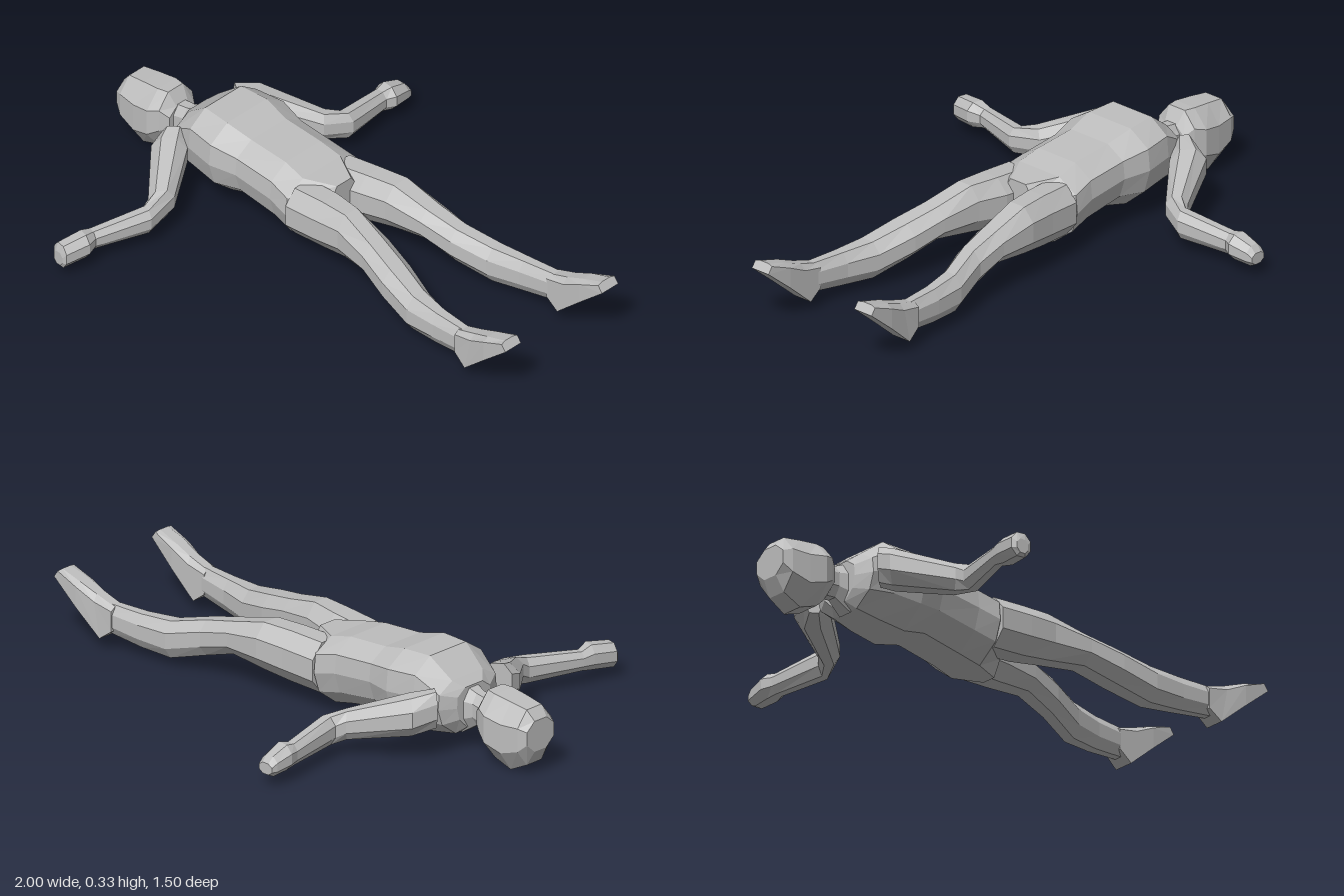
import * as THREE from 'three';

// Cross-section profiles in unit coordinates: u across, v upward
const OCTAGON = [[0.28, 0], [0.72, 0], [1, 0.3], [1, 0.72], [0.72, 1], [0.28, 1], [0, 0.72], [0, 0.3]];
const TORSO = [[0.3, 0], [0.7, 0], [0.93, 0.25], [1, 0.55], [0.98, 0.82], [0.76, 1], [0.24, 1], [0.02, 0.82], [0, 0.55], [0.07, 0.25]];
const FOOT = [[0, 0], [1, 0], [1, 0.85], [0.75, 1], [0.25, 1], [0, 0.85]];

// Skin a closed body over sections [xa, za, xb, zb, yLow, yHigh, topShiftX]
function loft(sections, profile) {
  const rings = sections.map(([xa, za, xb, zb, y0, y1, lean = 0]) =>
    profile.map(([u, v]) => new THREE.Vector3(
      xa + (xb - xa) * u + lean * v, y0 + (y1 - y0) * v, za + (zb - za) * u)));
  const n = profile.length;
  const tris = [];
  for (let i = 0; i < rings.length - 1; i++) {
    for (let j = 0; j < n; j++) {
      const k = (j + 1) % n;
      const [a, b, c, d] = [rings[i][j], rings[i][k], rings[i + 1][k], rings[i + 1][j]];
      tris.push([a, b, c], [a, c, d]);
    }
  }
  const last = rings[rings.length - 1];
  for (let j = 1; j < n - 1; j++) {
    tris.push([rings[0][0], rings[0][j + 1], rings[0][j]], [last[0], last[j], last[j + 1]]);
  }
  // Turn the faces outward whichever way the sections run
  const cross = new THREE.Vector3();
  const volume = tris.reduce((s, [a, b, c]) => s + a.dot(cross.crossVectors(b, c)), 0);
  const points = tris.flatMap(([a, b, c]) => (volume < 0 ? [a, c, b] : [a, b, c]));
  const geometry = new THREE.BufferGeometry().setFromPoints(points);
  geometry.computeVertexNormals();
  return geometry;
}

// Section square to x: position, z range, y range
const across = (x, z0, z1, y0, y1, lean) => [x, z0, x, z1, y0, y1, lean];
// Section square to x, centred on the spine
const MID = -0.037;
const spine = (x, half, y0, y1, lean) => across(x, MID - half, MID + half, y0, y1, lean);

export function createModel() {
  const model = new THREE.Group();
  model.name = 'lyingFigure';
  const grey = new THREE.MeshStandardMaterial({ color: 0xbebebe, flatShading: true });
  grey.name = 'plain grey';
  const add = (name, sections, profile = OCTAGON) => {
    const mesh = new THREE.Mesh(loft(sections, profile), grey);
    mesh.name = name;
    model.add(mesh);
  };

  // Head, crown to jaw, and neck
  add('head', [
    spine(-1, 0.065, 0.09, 0.2), spine(-0.97, 0.08, 0.035, 0.235), spine(-0.9, 0.09, 0, 0.245),
    spine(-0.83, 0.097, 0.025, 0.253), spine(-0.79, 0.08, 0.06, 0.255), spine(-0.76, 0.06, 0.1, 0.205),
  ]);
  add('neck', [spine(-0.8, 0.045, 0.09, 0.205), spine(-0.72, 0.038, 0.1, 0.215), spine(-0.66, 0.06, 0.06, 0.24)]);

  // Shoulders, chest, waist and hips tapering to the crotch
  add('torso', [
    spine(-0.69, 0.08, 0.09, 0.235), spine(-0.66, 0.14, 0.065, 0.26), spine(-0.57, 0.165, 0.05, 0.328),
    spine(-0.46, 0.182, 0.04, 0.325), spine(-0.36, 0.16, 0.065, 0.3), spine(-0.2, 0.16, 0.04, 0.288),
    spine(-0.115, 0.172, 0.022, 0.267), spine(-0.01, 0.065, 0.025, 0.258),
  ], TORSO);

  // Legs, hip to ankle
  add('leftLeg', [
    across(-0.11, -0.02, 0.142, 0.07, 0.253), across(0.02, -0.015, 0.143, 0.08, 0.262),
    across(0.13, 0.01, 0.14, 0.095, 0.265), across(0.27, 0.035, 0.165, 0.11, 0.228),
    across(0.39, 0.06, 0.195, 0.072, 0.2), across(0.52, 0.1, 0.215, 0.035, 0.168),
    across(0.64, 0.135, 0.215, 0.043, 0.163), across(0.78, 0.158, 0.218, 0.06, 0.165),
  ]);
  add('rightLeg', [
    across(-0.11, -0.21, -0.05, 0.07, 0.253), across(0.02, -0.222, -0.07, 0.08, 0.262),
    across(0.13, -0.235, -0.09, 0.095, 0.265), across(0.27, -0.232, -0.11, 0.11, 0.228),
    across(0.39, -0.235, -0.13, 0.072, 0.2), across(0.52, -0.268, -0.17, 0.035, 0.168),
    across(0.64, -0.278, -0.2, 0.043, 0.163), across(0.78, -0.285, -0.222, 0.06, 0.165),
  ]);

  // Feet, ankle to heel to toe
  for (const [name, inner, outer] of [['leftFoot', 0.155, 0.222], ['rightFoot', -0.218, -0.288]]) {
    const s = Math.sign(outer);
    add(name, [
      across(0.75, inner, outer, 0.075, 0.16), across(0.8, inner, outer + s * 0.005, 0.038, 0.185, 0.03),
      across(0.9, inner, outer + s * 0.016, 0.125, 0.212),
      across(1, inner + s * 0.008, outer + s * 0.016, 0.208, 0.236, -0.02),
    ], FOOT);
  }

  // Bent arms, shoulder to elbow to hand
  add('leftArm', [
    [-0.685, 0.15, -0.61, 0.09, 0.12, 0.25], [-0.675, 0.2, -0.575, 0.13, 0.1, 0.235],
    [-0.53, 0.365, -0.475, 0.295, 0.065, 0.165], [-0.525, 0.4, -0.46, 0.42, 0.05, 0.142],
    [-0.585, 0.6, -0.53, 0.615, 0.053, 0.122], [-0.595, 0.64, -0.515, 0.66, 0.045, 0.135],
    [-0.612, 0.73, -0.54, 0.745, 0.035, 0.122], [-0.6, 0.745, -0.555, 0.75, 0.045, 0.095],
  ]);
  add('rightArm', [
    [-0.69, -0.21, -0.63, -0.17, 0.12, 0.25], [-0.655, -0.295, -0.56, -0.215, 0.1, 0.235],
    [-0.45, -0.4, -0.4, -0.345, 0.065, 0.165], [-0.425, -0.425, -0.355, -0.44, 0.05, 0.15],
    [-0.448, -0.63, -0.385, -0.63, 0.045, 0.122], [-0.46, -0.67, -0.367, -0.66, 0.04, 0.13],
    [-0.452, -0.73, -0.38, -0.73, 0.035, 0.108], [-0.445, -0.75, -0.385, -0.75, 0.045, 0.085],
  ]);
  return model;
}
